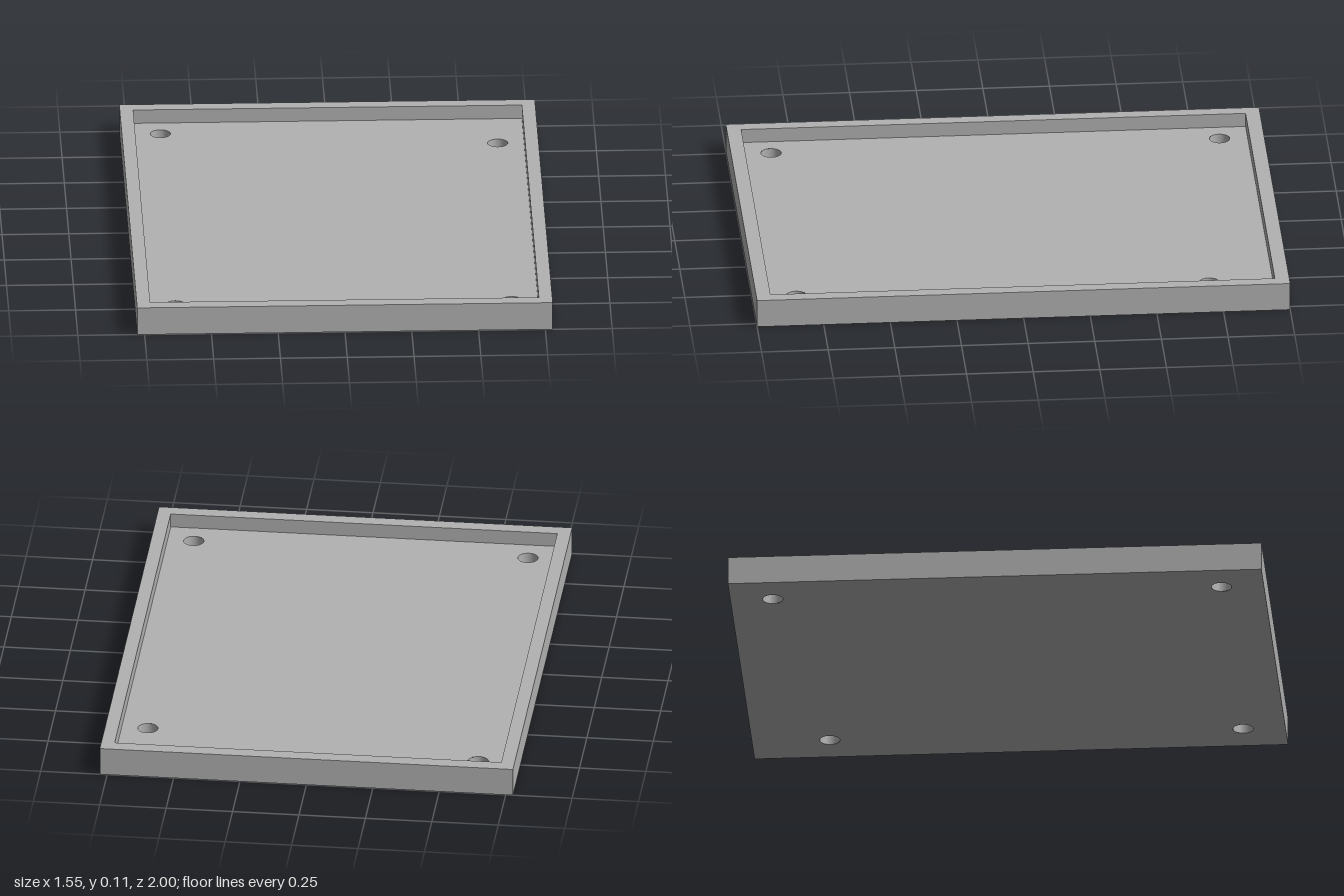
import * as THREE from 'three';
import { mergeGeometries } from 'three/addons/utils/BufferGeometryUtils.js';

const WIDTH = 1.555, DEPTH = 2, HEIGHT = 0.108;
const WALL = 0.05, FLOOR = 0.054, HOLE_RADIUS = 0.038;
const HOLES = [[-0.629, -0.841], [0.629, -0.708], [-0.629, 0.841], [0.629, 0.841]];

// Rectangle in x/z, as a shape or as a hole outline
function rectangle(w, d, Type = THREE.Shape) {
  return new Type([[-1, -1], [1, -1], [1, 1], [-1, 1]]
    .map(([x, y]) => new THREE.Vector2(x * w / 2, y * d / 2)));
}

// Flat horizontal face at height y, facing up or down
function flatFace(shape, y, up) {
  const geometry = new THREE.ShapeGeometry(shape, 32);
  return geometry.rotateX(up ? -Math.PI / 2 : Math.PI / 2).translate(0, y, 0);
}

// Four upright faces around a rectangle, facing outward or inward
function sideWalls(w, d, y0, y1, inward) {
  const sides = [];
  for (let i = 0; i < 4; i++) {
    const [across, out] = i % 2 ? [d, w / 2] : [w, d / 2];
    const side = new THREE.PlaneGeometry(across, y1 - y0);
    if (inward) side.rotateY(Math.PI);
    sides.push(side.translate(0, (y0 + y1) / 2, out).rotateY(i * Math.PI / 2));
  }
  return mergeGeometries(sides);
}

// Slab outline pierced by the mounting holes; zSign matches the face's rotation
function piercedSlab(w, d, zSign) {
  const shape = rectangle(w, d);
  for (const [x, z] of HOLES) {
    shape.holes.push(new THREE.Path().absarc(x, z * zSign, HOLE_RADIUS, 0, Math.PI * 2, true));
  }
  return shape;
}

export function createModel() {
  const tray = new THREE.Group();
  tray.name = 'tray';
  const grey = new THREE.MeshStandardMaterial({ color: 0xb2b2b2 });
  grey.name = 'grey';
  const add = (name, geometry) => {
    const mesh = new THREE.Mesh(geometry, grey);
    mesh.name = name;
    tray.add(mesh);
  };
  const innerW = WIDTH - 2 * WALL, innerD = DEPTH - 2 * WALL - 0.008;

  // Shell
  add('underside', flatFace(piercedSlab(WIDTH, DEPTH, 1), 0, false));
  add('outerWalls', sideWalls(WIDTH, DEPTH, 0, HEIGHT, false));
  const rim = rectangle(WIDTH, DEPTH);
  rim.holes.push(rectangle(innerW, innerD, THREE.Path));
  add('rim', flatFace(rim, HEIGHT, true));

  // Recess
  add('innerWalls', sideWalls(innerW, innerD, FLOOR, HEIGHT, true));
  add('recessFloor', flatFace(piercedSlab(innerW, innerD, -1), FLOOR, true));

  // Bores of the mounting holes; the top-to-bottom profile faces inward
  const profile = [new THREE.Vector2(HOLE_RADIUS, FLOOR), new THREE.Vector2(HOLE_RADIUS, 0)];
  for (const [x, z] of HOLES) {
    add('mountingHole', new THREE.LatheGeometry(profile, 32).translate(x, 0, z));
  }
  return tray;
}
